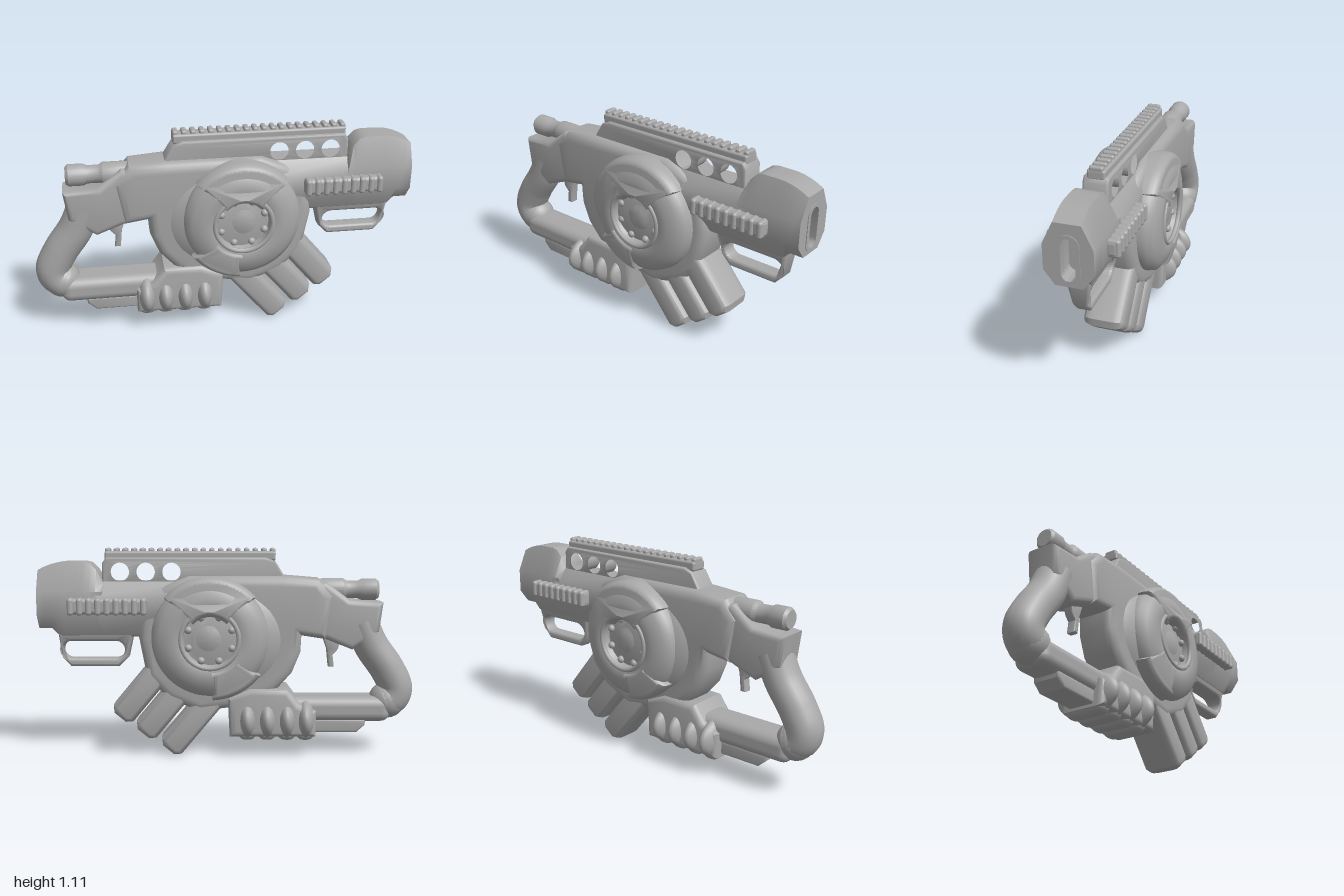
import * as THREE from 'three';
import { toCreasedNormals } from 'three/addons/utils/BufferGeometryUtils.js';
import { RoundedBoxGeometry } from 'three/addons/geometries/RoundedBoxGeometry.js';

export function createModel() {
  const model = new THREE.Group();
  const grey = new THREE.MeshStandardMaterial({ color: 0xa8a8a8 });
  grey.name = 'plain grey';

  const add = (name, geometry, x = 0, y = 0, z = 0) => {
    const mesh = new THREE.Mesh(geometry, grey);
    mesh.name = name;
    mesh.position.set(x, y, z);
    model.add(mesh);
    return mesh;
  };
  const outline = (pts) => new THREE.Shape(pts.map(([x, y]) => new THREE.Vector2(x, y)));
  // Side profile extruded symmetrically to +-half, with a bevel kept inside the outline;
  // thickness(x, y) thins the slab from place to place
  const slab = (shape, half, bevel, depthBevel = bevel, thickness = () => 1) => {
    const g = new THREE.ExtrudeGeometry(shape, {
      depth: 2 * (half - depthBevel), bevelThickness: depthBevel, bevelSize: bevel,
      bevelOffset: -bevel, bevelSegments: 4, curveSegments: 24,
    });
    g.translate(0, 0, -(half - depthBevel));
    const p = g.attributes.position;
    for (let i = 0; i < p.count; i++) p.setZ(i, p.getZ(i) * thickness(p.getX(i), p.getY(i)));
    return toCreasedNormals(g, 0.7);
  };
  const box = (w, h, d, r) => new RoundedBoxGeometry(w, h, d, 3, r);
  // Rounded slot path, used for hoops and openings
  const slot = (path, cx, cy, hw, hh) => {
    const r = Math.min(hw, hh);
    path.absarc(cx + hw - r, cy + hh - r, r, 0, Math.PI / 2);
    path.absarc(cx - hw + r, cy + hh - r, r, Math.PI / 2, Math.PI);
    path.absarc(cx - hw + r, cy - hh + r, r, Math.PI, Math.PI * 1.5);
    path.absarc(cx + hw - r, cy - hh + r, r, Math.PI * 1.5, Math.PI * 2);
    path.closePath();
    return path;
  };

  // Central body and its swollen sides
  add('centralBody', slab(outline([
    [-0.56, 0.86], [-0.48, 0.95], [-0.3, 0.965], [0.2, 0.965], [0.35, 0.91], [0.45, 0.8],
    [0.47, 0.64], [0.43, 0.43], [0.32, 0.31], [0.15, 0.24], [0, 0.26], [-0.14, 0.3],
    [-0.25, 0.35], [-0.34, 0.45], [-0.385, 0.56], [-0.39, 0.65], [-0.52, 0.63],
  ]), 0.11, 0.05));
  const bulge = add('bodyBulge', new THREE.SphereGeometry(1, 40, 28), 0.04, 0.63);
  bulge.scale.set(0.41, 0.34, 0.175);

  // Rear receiver
  add('rearReceiver', slab(outline([
    [-0.82, 0.825], [-0.64, 0.84], [-0.52, 0.93], [-0.4, 0.92], [-0.36, 0.67],
    [-0.52, 0.63], [-0.66, 0.575], [-0.8, 0.67],
  ]), 0.092, 0.03));

  // Bolt lying on top of the receiver
  const bolt = new THREE.LatheGeometry([
    [0, -0.8], [0.045, -0.8], [0.057, -0.785], [0.057, -0.71], [0.047, -0.69], [0.047, -0.63],
    [0.06, -0.61], [0.06, -0.52], [0.05, -0.42], [0, -0.42],
  ].map(([r, x]) => new THREE.Vector2(r, x)), 24);
  bolt.rotateZ(-Math.PI / 2);
  add('rearBolt', toCreasedNormals(bolt, 0.6), 0, 0.89);

  // Curved rear grip and lower bar
  const gripCurve = new THREE.CatmullRomCurve3([
    [-0.71, 0.72], [-0.77, 0.59], [-0.86, 0.46], [-0.905, 0.36], [-0.885, 0.305], [-0.84, 0.288],
  ].map(([x, y]) => new THREE.Vector3(x, y, 0)));
  add('rearGrip', new THREE.TubeGeometry(gripCurve, 40, 0.092, 20)).scale.z = 1.05;
  add('gripHeel', new THREE.SphereGeometry(0.098, 24, 16), -0.862, 0.292);
  add('lowerBar', box(0.62, 0.135, 0.19, 0.05), -0.56, 0.252);
  add('underPlate', slab(outline([
    [-0.74, 0.2], [-0.4, 0.2], [-0.4, 0.125], [-0.69, 0.125], [-0.735, 0.165],
  ]), 0.075, 0.015));

  // Trigger
  add('trigger', slab(outline([
    [-0.61, 0.66], [-0.5, 0.66], [-0.53, 0.57], [-0.54, 0.475], [-0.57, 0.475],
    [-0.562, 0.54], [-0.59, 0.57],
  ]), 0.025, 0.008));

  // Fore grip with knuckles wrapping around it
  add('foreGrip', slab(outline([
    [-0.47, 0.11], [-0.47, 0.25], [-0.38, 0.29], [-0.32, 0.37], [-0.12, 0.375],
    [0, 0.32], [-0.01, 0.11],
  ]), 0.13, 0.035));
  for (const x of [-0.415, -0.315, -0.21, -0.105]) {
    add('gripUnderside', box(0.1, 0.1, 0.23, 0.04), x, 0.137);
    const knuckle = add('gripKnuckle', new THREE.SphereGeometry(1, 24, 20), x, 0.2);
    knuckle.scale.set(0.057, 0.115, 0.18);
  }

  // Side wheel: one turned solid running through the body
  const half = [[0, 0.175], [0.05, 0.178], [0.075, 0.165], [0.135, 0.16], [0.145, 0.195],
    [0.165, 0.205], [0.21, 0.203], [0.265, 0.185], [0.3, 0.155], [0.308, 0.12]];
  const profile = [...half.map(([r, z]) => [r, -z]), ...half.slice().reverse()];
  const wheel = new THREE.LatheGeometry(profile.map(([r, z]) => new THREE.Vector2(r, z)), 64);
  wheel.rotateX(Math.PI / 2);
  add('sideWheel', toCreasedNormals(wheel, 0.7), 0.092, 0.643);

  // Raised wheel segments, thinner towards the outside
  const segment = (name, from, to, inner, outer) => {
    const s = new THREE.Shape();
    const a = THREE.MathUtils.degToRad(from), b = THREE.MathUtils.degToRad(to);
    s.absarc(0, 0, outer, a, b, false);
    s.absarc(0, 0, inner, b, a, true);
    s.closePath();
    const thin = (x, y) => 1 - 1.1 * Math.max(0, Math.hypot(x, y) - 0.16);
    add(name, slab(s, 0.221, 0.03, 0.06, thin), 0.092, 0.643);
  };
  segment('upperWheelSegment', 41, 138, 0.115, 0.32);
  segment('lowerWheelSegment', 216, 268, 0.16, 0.328);

  // Hub rims and studs
  for (const side of [-1, 1]) {
    add('hubRim', new THREE.TorusGeometry(0.15, 0.013, 10, 48), 0.092, 0.643, side * 0.2);
    for (let i = 0; i < 8; i++) {
      const a = (i + 0.5) * Math.PI / 4;
      add('hubStud', new THREE.SphereGeometry(0.02, 12, 8),
        0.092 + 0.122 * Math.cos(a), 0.643 + 0.122 * Math.sin(a), side * 0.165);
    }
  }

  // Barrel body between wheel and muzzle: cross-section drawn as (z, y)
  const section = (top, shoulder) => outline([
    [0.065, top], [0.118, shoulder], [0.118, 0.76], [0.065, 0.655],
    [-0.065, 0.655], [-0.118, 0.76], [-0.118, shoulder], [-0.065, top],
  ]);
  const alongX = (shape, x0, x1, steps) => {
    const g = new THREE.ExtrudeGeometry(shape, { depth: x1 - x0, steps, bevelEnabled: false, curveSegments: 16 });
    g.rotateY(Math.PI / 2);
    g.translate(x0, 0, 0);
    return g;
  };
  add('barrel', toCreasedNormals(alongX(section(0.935, 0.865), 0.25, 0.7, 1), 0.9));
  add('lowerBarrel', box(0.5, 0.12, 0.13, 0.025), 0.65, 0.7);

  // Muzzle with a slotted opening; its top is rounded down at both ends
  const muzzleShape = section(1.04, 0.885);
  muzzleShape.holes.push(slot(new THREE.Path(), 0, 0.825, 0.036, 0.105));
  const muzzle = alongX(muzzleShape, 0.655, 0.996, 10);
  const p = muzzle.attributes.position;
  for (let i = 0; i < p.count; i++) {
    const x = p.getX(i), y = p.getY(i);
    if (y > 1) {
      const back = Math.max(0, 0.75 - x) / 0.095, front = Math.max(0, x - 0.84) / 0.156;
      p.setY(i, y - 0.11 * back * back - 0.045 * front * front);
    }
    if (y < 0.68) p.setY(i, x > 0.9 ? 0.69 : 0.655);
  }
  add('muzzle', toCreasedNormals(muzzle, 0.8));
  add('muzzleCore', new THREE.BoxGeometry(0.23, 0.24, 0.12), 0.785, 0.825);
  const rim = slot(new THREE.Shape(), 0, 0.822, 0.055, 0.122);
  rim.holes.push(slot(new THREE.Path(), 0, 0.822, 0.034, 0.103));
  add('muzzleRim', toCreasedNormals(alongX(rim, 0.96, 1, 1), 0.6));

  // Upper sight plate with three holes
  const plate = outline([
    [-0.32, 0.92], [-0.3, 0.96], [-0.25, 1.04], [-0.2, 1.06], [0.64, 1.06], [0.66, 1.03], [0.66, 0.9], [-0.3, 0.9],
  ]);
  for (const x of [0.295, 0.43, 0.565]) {
    const hole = new THREE.Path();
    hole.absarc(x, 0.985, 0.06, 0, Math.PI * 2, true);
    plate.holes.push(hole);
  }
  add('sightPlate', slab(plate, 0.063, 0.012));

  // Toothed top rail
  add('topRail', box(0.9, 0.05, 0.09, 0.012), 0.198, 1.067);
  for (let i = 0; i < 20; i++) {
    add('railTooth', box(0.028, 0.045, 0.07, 0.01), -0.237 + i * 0.0458, 1.086);
  }

  // Ribbed strips along both sides of the barrel
  for (const side of [-1, 1]) {
    add('ribStrip', box(0.415, 0.082, 0.06, 0.02), 0.625, 0.81, side * 0.135);
    for (let i = 0; i < 9; i++) {
      add('rib', box(0.032, 0.09, 0.07, 0.015), 0.436 + i * 0.0472, 0.81, side * 0.14);
    }
  }

  // Hoop under the barrel, thickest where it joins
  const hoop = outline([
    [0.5, 0.67], [0.53, 0.53], [0.58, 0.48], [0.84, 0.48], [0.885, 0.53], [0.9, 0.66],
  ]);
  hoop.holes.push(slot(new THREE.Path(), 0.715, 0.57, 0.165, 0.047));
  add('underHoop', slab(hoop, 0.04, 0.014, 0.014, (x, y) => 1 + 5 * Math.max(0, y - 0.55)));

  // Three blunt chamfered prongs slanting down and forward
  const prongShape = outline([
    [-0.43, 0.07], [-0.03, 0.07], [0, 0.04], [0, -0.04], [-0.03, -0.07], [-0.43, -0.07],
  ]);
  for (const [x, y] of [[0.32, 0.027], [0.455, 0.116], [0.578, 0.206]]) {
    add('lowerProng', slab(prongShape, 0.105, 0.03, 0.055), x, y).rotation.z = Math.atan2(-0.77, 0.64);
  }
  return model;
}
